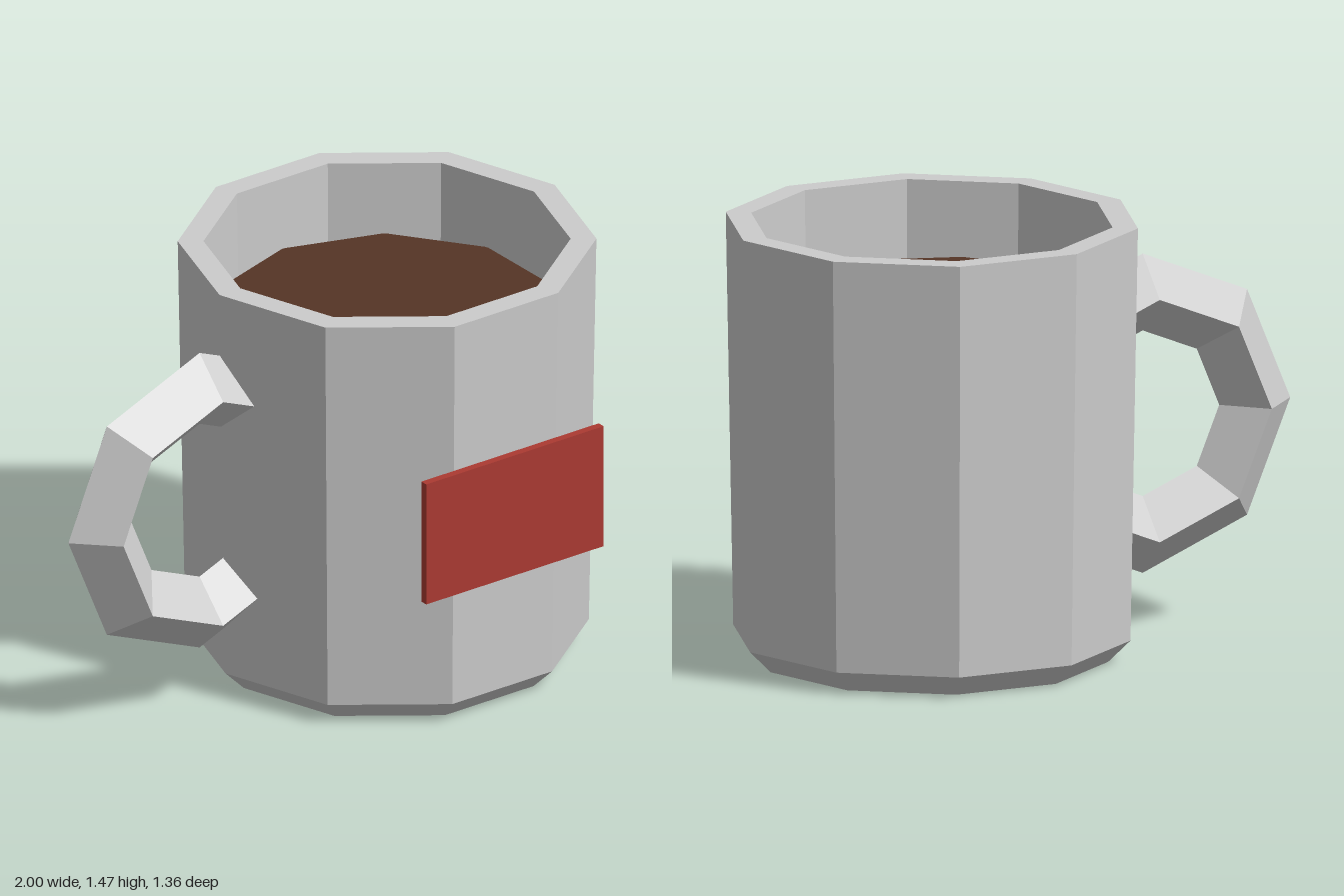
import * as THREE from 'three';

const SIDES = 10;
const CUP_X = 0.31, CUP_Z = -0.025;

function addPart(group, name, geometry, color = 0xcccccc) {
  const material = new THREE.MeshStandardMaterial({ color, flatShading: true });
  const mesh = new THREE.Mesh(geometry, material);
  mesh.name = name;
  group.add(mesh);
  return mesh;
}

// Diamond-section C handle whose end rings stop inside the cup wall
function handleGeometry(centreX, wallX) {
  const segments = 6, radial = 4;
  const g = new THREE.TorusGeometry(0.41, 0.13, radial, segments, Math.PI * 1.5);
  g.rotateZ(Math.PI / 4);
  g.translate(centreX, 0, 0);
  const p = g.attributes.position;
  const end = new THREE.Vector3(), next = new THREE.Vector3();
  for (let j = 0; j <= radial; j++) {
    const row = j * (segments + 1);
    for (const [a, b] of [[row, row + 1], [row + segments, row + segments - 1]]) {
      end.fromBufferAttribute(p, a);
      next.fromBufferAttribute(p, b);
      const t = (wallX - next.x) / (end.x - next.x);
      next.lerp(end, t);
      p.setXYZ(a, next.x, next.y, next.z);
    }
  }
  g.computeVertexNormals();
  return g;
}

export function createModel() {
  const model = new THREE.Group();
  model.name = 'mug';

  // Hollow ten-sided cup with a chamfered foot
  const profile = [
    [0, 0], [0.59, 0], [0.665, 0.075], [0.69, 1.47],
    [0.605, 1.47], [0.58, 0.1], [0, 0.1],
  ].map(([r, y]) => new THREE.Vector2(r, y));
  const cup = addPart(model, 'cup', new THREE.LatheGeometry(profile, SIDES, Math.PI / SIDES));
  cup.position.set(CUP_X, 0, CUP_Z);

  // Drink, turned half a side against the cup
  const drink = addPart(model, 'drink', new THREE.CylinderGeometry(0.573, 0.573, 0.05, SIDES), 0x553526);
  drink.position.set(CUP_X, 1.19, CUP_Z);

  const handle = addPart(model, 'handle', handleGeometry(-0.46, -0.3));
  handle.position.set(0, 0.74, CUP_Z - 0.003);

  // Flat plate standing just off the front
  const plate = addPart(model, 'frontPlate', new THREE.BoxGeometry(0.73, 0.44, 0.027), 0xab3a32);
  plate.position.set(0.307, 0.737, 0.668);

  return model;
}
